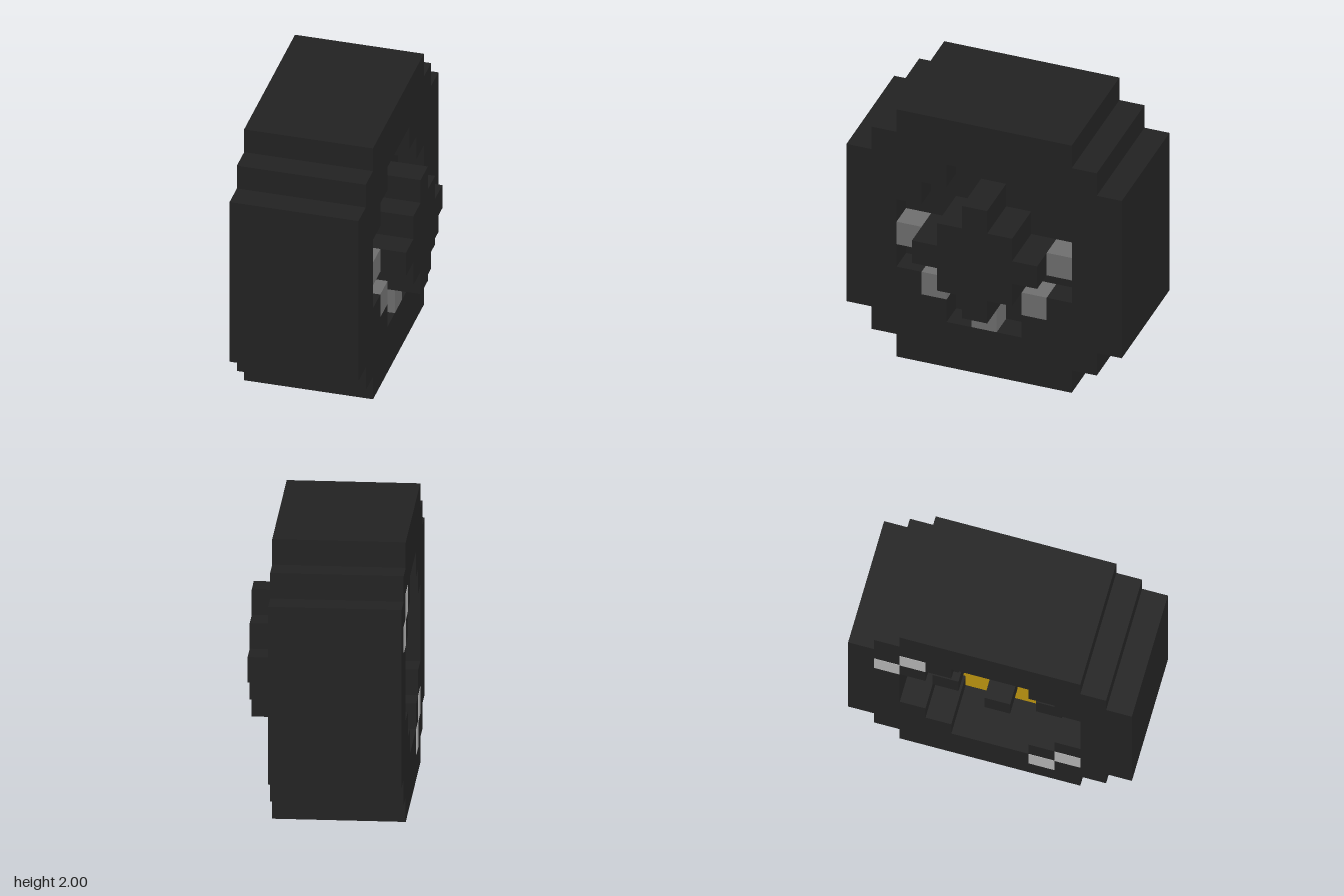
import * as THREE from 'three';

const U = 2 / 11; // edge of one block

const rubber = new THREE.MeshStandardMaterial({ name: 'black', color: 0x222222 });
const steel = new THREE.MeshStandardMaterial({ name: 'grey', color: 0x6e6e6e });
const weightGrey = new THREE.MeshStandardMaterial({ name: 'lightGrey', color: 0xb4b4b4 });
const gold = new THREE.MeshStandardMaterial({ name: 'gold', color: 0xbc9410 });

// Half-widths (in blocks) of each row, bottom to top
const TYRE = [3.5, 4.5, 5.5, 5.5, 5.5, 5.5, 5.5, 5.5, 5.5, 4.5, 3.5];
const RIM = [1.5, 2.5, 3.5, 3.5, 3.5, 2.5, 1.5];
const HUB = [0.5, 1.5, 2.5, 1.5, 0.5];
const PLUS = [0.5, 1.5, 0.5];

// Stepped round outline, centred on the axle
function steppedPoints(rows) {
  const right = [], left = [];
  rows.forEach((w, i) => {
    const y = (i - rows.length / 2) * U;
    right.push(new THREE.Vector2(w * U, y), new THREE.Vector2(w * U, y + U));
    left.unshift(new THREE.Vector2(-w * U, y + U), new THREE.Vector2(-w * U, y));
  });
  // Drop points that lie on a straight side
  const all = [...right, ...left];
  return all.filter((p, i) => {
    const a = all[(i + all.length - 1) % all.length], b = all[(i + 1) % all.length];
    return Math.abs((p.x - a.x) * (b.y - p.y) - (p.y - a.y) * (b.x - p.x)) > 1e-8;
  });
}

// Stepped slab spanning block layers [from, to] across the width
function slab(name, rows, from, to, material, holeRows) {
  const shape = new THREE.Shape(steppedPoints(rows));
  if (holeRows) shape.holes.push(new THREE.Path(steppedPoints(holeRows)));
  const geo = new THREE.ExtrudeGeometry(shape, { depth: (to - from) * U, bevelEnabled: false });
  geo.rotateY(Math.PI / 2);
  geo.translate((from - 3) * U, 1, 0);
  const mesh = new THREE.Mesh(geo, material);
  mesh.name = name;
  return mesh;
}

// One block at a layer, z column and y row
function block(name, layer, col, row, material) {
  const mesh = new THREE.Mesh(new THREE.BoxGeometry(U, U, U), material);
  mesh.name = name;
  mesh.position.set((layer - 2.5) * U, 1 + row * U, col * U);
  return mesh;
}

export function createModel() {
  const wheel = new THREE.Group();
  wheel.name = 'wheel';

  // Tyre, inner plates and protruding hub
  wheel.add(slab('tyre', TYRE, 0, 5, rubber, RIM));
  wheel.add(slab('brakeDisc', RIM, 2, 3, gold, PLUS));
  wheel.add(slab('rimPlate', RIM, 3, 4, rubber));
  wheel.add(slab('hub', HUB, 4, 6, rubber));

  // Grey rim blocks on the outer side
  for (const [z, y] of [[3, 0], [-3, 0], [2, -2], [-2, -2], [0, -3]])
    wheel.add(block('rimBlock', 4, z, y, steel));

  // Bolts on the inner side
  for (const [z, y] of [[0, 2], [0, -2], [2, 1], [2, -1], [-2, 1], [-2, -1]])
    wheel.add(block('bolt', 1, z, y, rubber));

  // Thin balance weights on the inner side wall
  for (const [z, y] of [[-3, 3], [-4, 2], [3, -3], [2, -4]]) {
    const plate = block('balanceWeight', 0, z, y, weightGrey);
    plate.geometry = new THREE.BoxGeometry(0.006, U, U);
    plate.position.x = -3 * U;
    wheel.add(plate);
  }
  return wheel;
}
